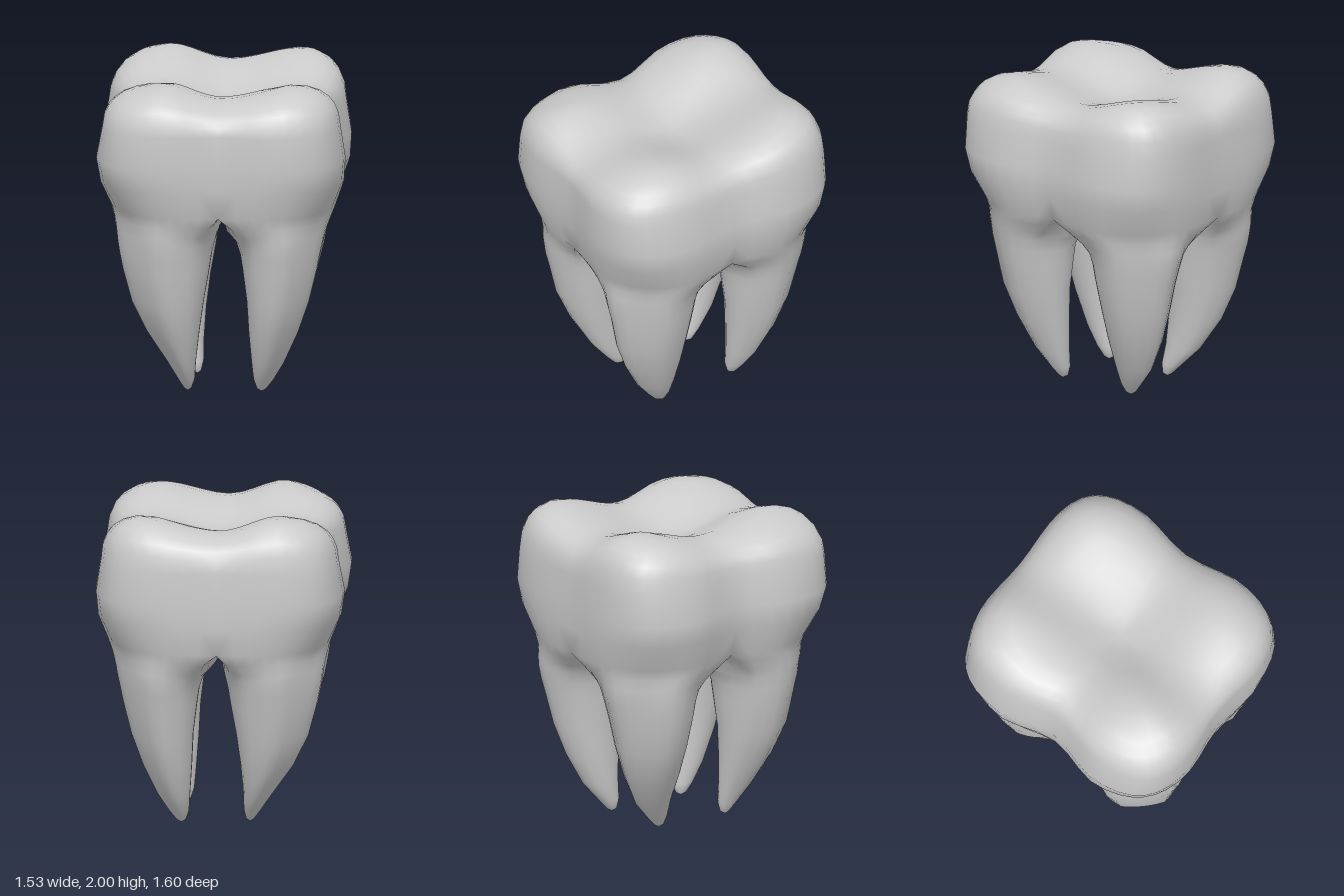
import * as THREE from 'three';
import { mergeVertices } from 'three/addons/utils/BufferGeometryUtils.js';

// Levels from crown to root tips:
// height, reach to -x, +x, +z, -z, gap between roots, then how far the
// outer skin and the inner walls still belong to the undivided crown (1 = fully)
const LEVELS = [
  [1.70, 0.735, 0.74, 0.81, 0.80, 0, 1, 1],
  [1.50, 0.775, 0.772, 0.81, 0.805, 0, 1, 1],
  [1.35, 0.757, 0.767, 0.795, 0.80, 0, 1, 1],
  [1.18, 0.70, 0.72, 0.76, 0.78, 0, 1, 1],
  [1.11, 0.68, 0.69, 0.74, 0.76, 0.10, 0.65, 1],
  [1.04, 0.66, 0.66, 0.725, 0.745, 0.10, 0.3, 0.97],
  [0.98, 0.645, 0.64, 0.71, 0.73, 0.07, 0.05, 0.15],
  [0.90, 0.63, 0.62, 0.695, 0.71, 0.085, 0, 0],
  [0.80, 0.61, 0.60, 0.67, 0.68, 0.10, 0, 0],
  [0.60, 0.555, 0.55, 0.63, 0.63, 0.13, 0, 0],
  [0.40, 0.46, 0.48, 0.55, 0.56, 0.15, 0, 0],
  [0.20, 0.335, 0.39, 0.44, 0.46, 0.17, 0, 0],
  [0.08, 0.27, 0.32, 0.345, 0.36, 0.18, 0, 0],
  [0.02, 0.235, 0.275, 0.29, 0.31, 0.20, 0, 0],
];
const SPLIT = 3;     // level where the roots begin to part
const SEGMENTS = 14; // steps along half of a root's outline
const RINGS = [0, 0.15, 0.3, 0.45, 0.6, 0.72, 0.82, 0.9, 0.95, 0.985];

const { lerp, smoothstep } = THREE.MathUtils;

// Pulls a point on a square in to a rounded square
function rounded(a, b, power) {
  const big = Math.max(Math.abs(a), Math.abs(b));
  const norm = Math.pow(Math.abs(a) ** power + Math.abs(b) ** power, 1 / power);
  const k = norm > 0 ? big / norm : 1;
  return [a * k, b * k];
}

// Point on one quarter's outline; t 0..1 is the outer half, 1..2 the inner half
function outline(level, sx, sz, t) {
  const [y, xl, xr, zf, zb, gap, wOuter, wInner] = level;
  const X = sx < 0 ? xl : xr;
  const Z = sz > 0 ? zf : zb;
  const q = (t % 1) * 4;
  let a = q < 2 ? 1 : 3 - q;
  let b = q < 2 ? q - 1 : 1;
  if (t >= 1) [a, b] = [-a, -b];

  // Crown quarter with grooves in the middle of each side
  const [u, v] = rounded((a + 1) / 2, (b + 1) / 2, lerp(2.5, 4.5, smoothstep(y, 1.0, 1.6)));
  const grooveX = (sx < 0 ? 0.12 : 0.08) * (1 - smoothstep(v, 0, 0.5));
  const grooveZ = (sz > 0 ? 0.055 : 0.02) * (1 - smoothstep(u, 0, 0.5));
  const crown = [X * u * (1 - grooveX), Z * v * (1 - grooveZ)];

  // Separate root, slimmer at its outer corner
  const gx = gap + sx * lerp(0.015, 0.035, smoothstep(y, 0.2, 0.8));
  const gz = gap + 0.03 - 0.012 * sz;
  const [ra, rb] = rounded(a, b, lerp(1.85, 1.3, smoothstep(a + b, 0, 1.5)));
  const root = [(X + gx) / 2 + (ra * (X - gx)) / 2, (Z + gz) / 2 + (rb * (Z - gz)) / 2];

  const w = t > 1 ? lerp(wOuter, wInner, Math.sin(Math.PI * (t - 1))) : wOuter;
  // The back right root bends inward at its tip
  const bend = sx < 0 && sz < 0 ? Math.max(0, 1 - y / 0.6) ** 2 : 0;
  return new THREE.Vector3(
    sx * (lerp(root[0], crown[0], w) - 0.035 * bend), y,
    sz * (lerp(root[1], crown[1], w) - 0.05 * bend));
}

// Chewing surface: four cusps around crossing valleys
function cuspHeight(x, z) {
  const back = 0.025 * smoothstep(-z, 0, 0.6);
  const acrossX = smoothstep(Math.abs(x), 0, x < 0 ? 0.38 : 0.54);
  const acrossZ = smoothstep(Math.abs(z), 0, z < 0 ? 0.56 : 0.46);
  return 1.785 + 0.1 * (acrossX + acrossZ) + back;
}

function createTooth() {
  const positions = [];
  const triangle = (p, q, r, flip) => {
    if (p.distanceTo(q) < 1e-4 || q.distanceTo(r) < 1e-4 || r.distanceTo(p) < 1e-4) return;
    for (const c of flip ? [p, r, q] : [p, q, r]) positions.push(c.x, c.y, c.z);
  };
  const sheet = (rows, flip) => {
    for (let i = 0; i < rows.length - 1; i++) {
      for (let j = 0; j < SEGMENTS; j++) {
        const [p, q] = [rows[i][j], rows[i][j + 1]];
        const [r, s] = [rows[i + 1][j], rows[i + 1][j + 1]];
        triangle(p, q, s, flip);
        triangle(p, s, r, flip);
      }
    }
  };

  for (const sx of [-1, 1]) {
    for (const sz of [-1, 1]) {
      // Half outlines; the inner half ends where the outer half starts
      const half = (level, start) => Array.from({ length: SEGMENTS + 1 }, (_, j) =>
        outline(level, sx, sz, (start + j / SEGMENTS) % 2));
      const outer = LEVELS.map((level) => half(level, 0));
      const inner = LEVELS.slice(SPLIT).map((level) => half(level, 1));

      // Chewing surface rolls over from the rim to the centre, softer at the sides
      const rimY = LEVELS[0][0];
      const top = RINGS.map((s) => outer[0].map((p) => {
        const x = p.x * s;
        const z = p.z * s;
        const soft = (sx < 0 ? 2.6 : 1.2) * smoothstep(Math.abs(p.x), 0.4, 0.72);
        const roll = Math.sqrt(1 - s ** (7.5 - 2 * p.z - soft));
        return new THREE.Vector3(x, rimY + (cuspHeight(x, z) - rimY) * roll, z);
      }));

      // Root tip
      const last = outer[outer.length - 1];
      const tip = last[0].clone().add(last[SEGMENTS]).multiplyScalar(0.5).setY(0);
      const tipRow = last.map(() => tip);

      const flip = sx * sz < 0;
      sheet([...top, ...outer, tipRow], flip);
      sheet([...inner, tipRow], flip);
    }
  }

  const geometry = new THREE.BufferGeometry();
  geometry.setAttribute('position', new THREE.Float32BufferAttribute(positions, 3));
  const skin = mergeVertices(geometry, 1e-4);
  skin.computeVertexNormals();
  return skin;
}

export function createModel() {
  const group = new THREE.Group();
  group.name = 'molarTooth';
  const tooth = new THREE.Mesh(createTooth(), new THREE.MeshStandardMaterial({ color: 0xcccccc }));
  tooth.name = 'crownAndRoots';
  group.add(tooth);
  return group;
}
